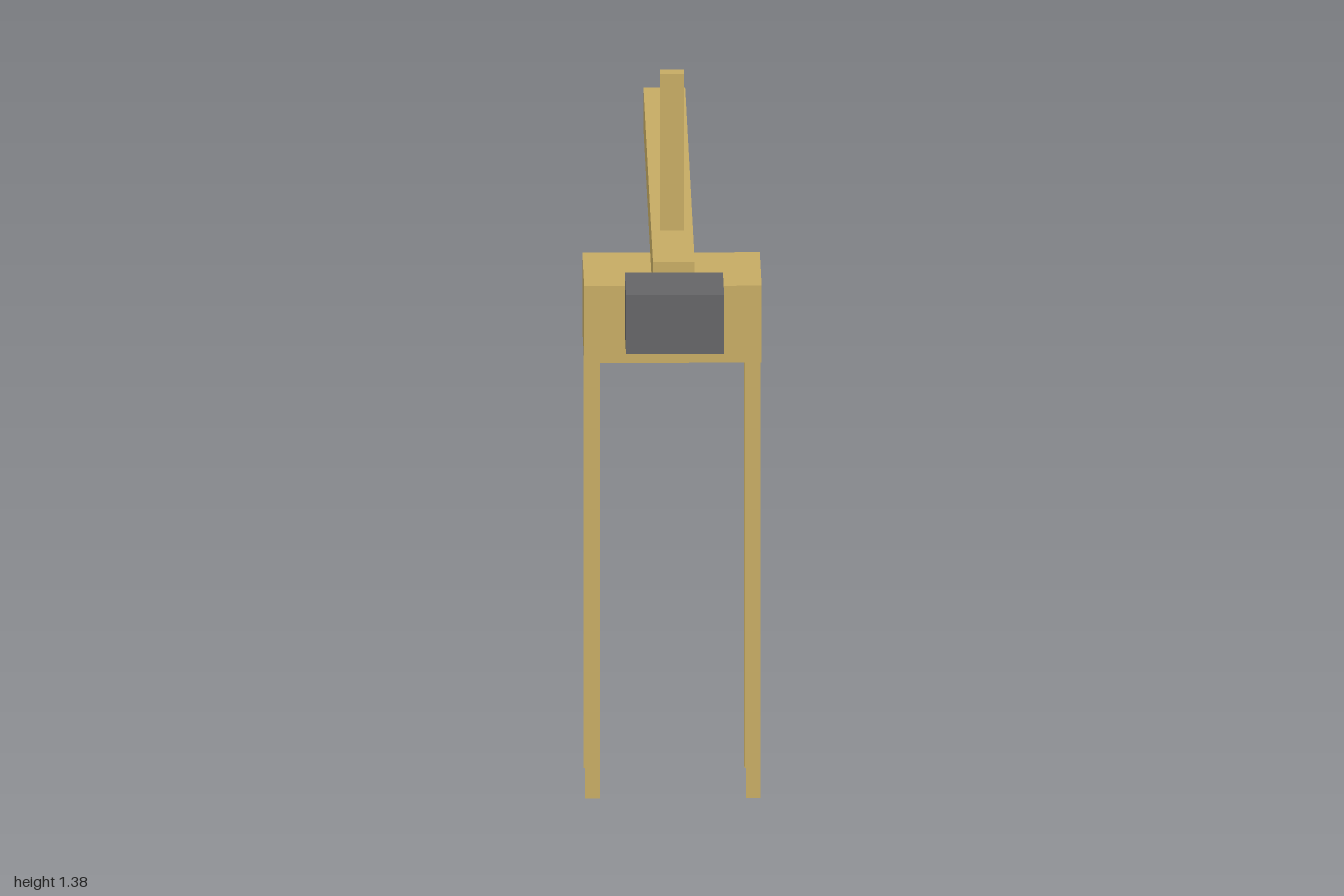
import * as THREE from 'three';

export function createModel() {
  const wood = new THREE.MeshStandardMaterial({ name: 'wood', color: 0xc8ad65 });
  const iron = new THREE.MeshStandardMaterial({ name: 'iron', color: 0x666668 });
  const model = new THREE.Group();
  model.name = 'beamOnStand';

  // Box given by its size and centre
  const box = (name, material, [w, h, d], [x, y, z]) => {
    const mesh = new THREE.Mesh(new THREE.BoxGeometry(w, h, d), material);
    mesh.name = name;
    mesh.position.set(x, y, z);
    model.add(mesh);
  };

  const standZ = 0.425;

  // Stand: block on four slender legs
  box('standBlock', wood, [0.34, 0.15, 0.34], [0, 0.925, standZ]);
  for (const [side, sx] of [['Left', 1], ['Right', -1]]) {
    for (const [end, sz] of [['front', 1], ['back', -1]]) {
      box(`${end}${side}Leg`, wood, [0.028, 0.85, 0.028], [sx * 0.154, 0.425, standZ + sz * 0.154]);
    }
  }

  // Long beam with an upright post above the stand
  box('beam', wood, [0.08, 0.08, 1.77], [0, 1.04, -0.115]);
  box('post', wood, [0.046, 0.305, 0.046], [0, 1.2325, standZ]);

  // Counterweight on the front end of the beam
  box('counterweight', iron, [0.188, 0.115, 0.23], [0, 1.0025, 0.885]);

  return model;
}
